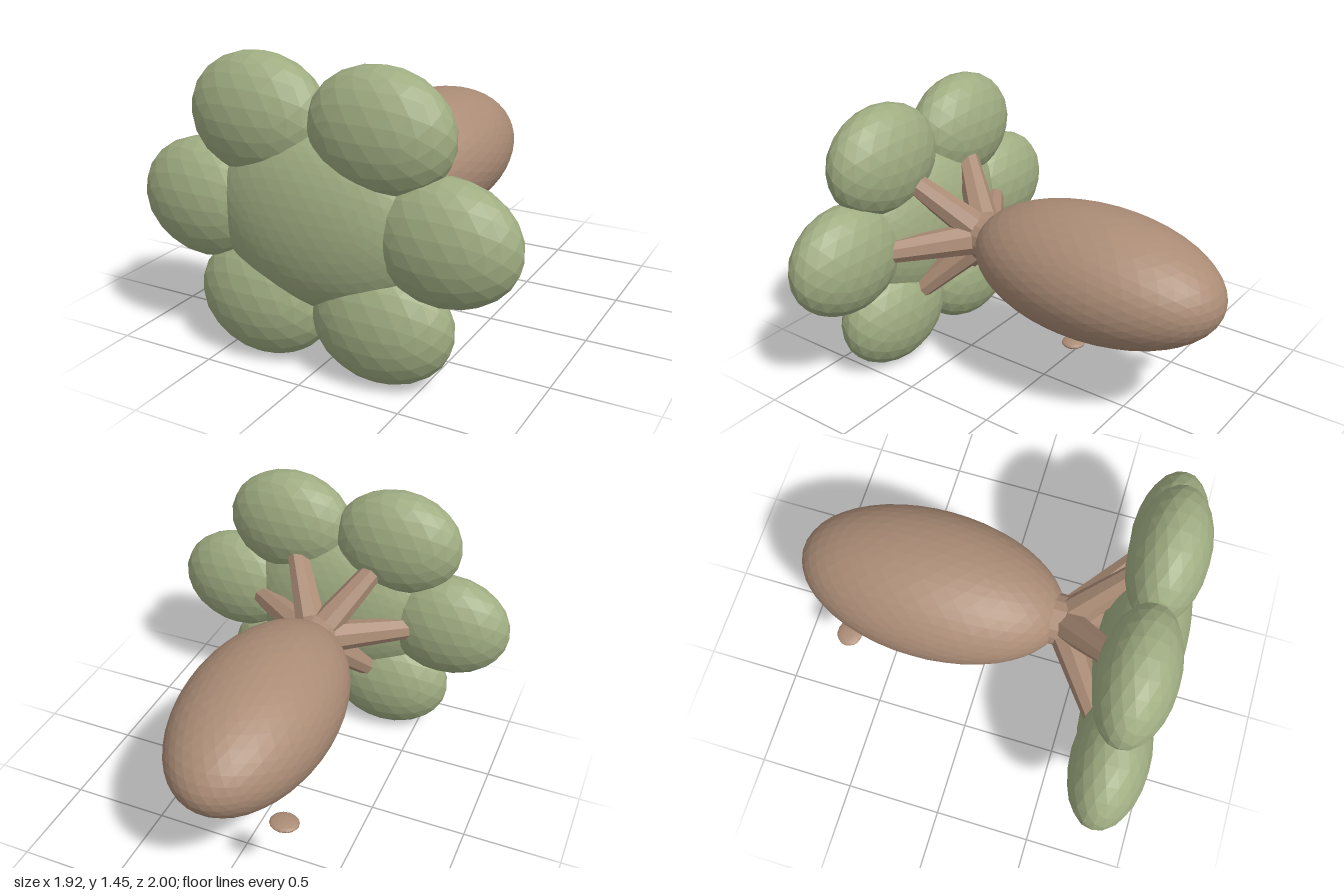
import * as THREE from 'three';

export function createModel() {
  const group = new THREE.Group();
  const green = new THREE.MeshStandardMaterial({ color: 0xa0ad82, flatShading: true });
  green.name = 'sage green';
  const brown = new THREE.MeshStandardMaterial({ color: 0xab8c76, flatShading: true });
  brown.name = 'warm brown';

  const midY = 0.73;

  // Faceted ellipsoid given by its centre and half sizes
  function ellipsoid(name, material, centre, half, detail) {
    const geometry = new THREE.IcosahedronGeometry(1, detail);
    geometry.rotateX(Math.PI / 2);
    geometry.scale(...half);
    const mesh = new THREE.Mesh(geometry, material);
    mesh.name = name;
    mesh.position.set(...centre);
    group.add(mesh);
  }

  // Tapered round bar between two points
  function bar(name, from, to, r0, r1, sides) {
    const axis = to.clone().sub(from);
    const mesh = new THREE.Mesh(new THREE.CylinderGeometry(r1, r0, axis.length(), sides), brown);
    mesh.name = name;
    mesh.position.copy(from).add(to).multiplyScalar(0.5);
    mesh.quaternion.setFromUnitVectors(new THREE.Vector3(0, 1, 0), axis.normalize());
    group.add(mesh);
  }

  // Long body and its neck
  ellipsoid('body', brown, [0, midY, -0.31], [0.385, 0.325, 0.69], 7);
  bar('neck', new THREE.Vector3(0, midY, 0.2), new THREE.Vector3(0, midY, 0.39), 0.135, 0.13, 16);

  // Flower head: centre disc, six lobes and a spoke to each lobe
  ellipsoid('centreDisc', green, [0, midY, 0.782], [0.54, 0.425, 0.218], 7);
  const hub = new THREE.Vector3(0, midY, 0.37);
  for (let i = 0; i < 6; i++) {
    const a = (i * Math.PI) / 3;
    const lobe = new THREE.Vector3(0.61 * Math.cos(a), midY + 0.502 * Math.sin(a), 0.78);
    if (i % 3) lobe.y = midY + 0.435 * Math.sign(Math.sin(a));
    ellipsoid('lobe' + (i + 1), green, lobe.toArray(), [0.348, 0.289, 0.192], 3);
    bar('spoke' + (i + 1), hub.clone().lerp(lobe, 0.12), lobe, 0.085, 0.045, 8);
  }

  // Small flat pads under the body
  ellipsoid('frontPad', brown, [-0.135, 0.395, -0.095], [0.045, 0.021, 0.045], 2);
  ellipsoid('middlePad', brown, [0.23, 0.455, -0.34], [0.057, 0.02, 0.057], 2);
  ellipsoid('rearPad', brown, [-0.29, 0.443, -0.69], [0.073, 0.02, 0.066], 2);

  return group;
}
